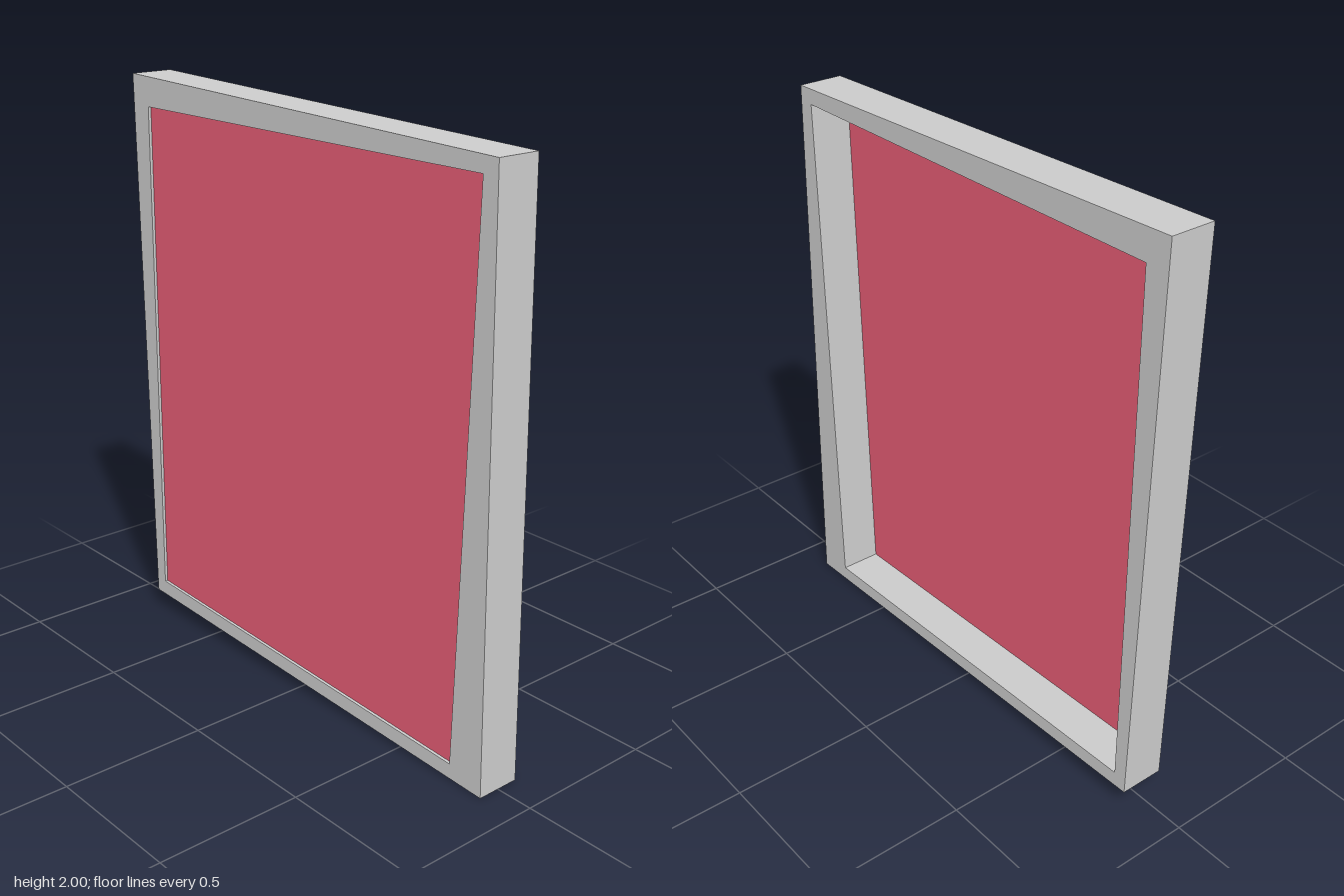
import * as THREE from 'three';

const THICKNESS = 0.155;
const PANEL_X = -0.067;

// Corners as [z, y], running round the slightly crooked frame
const OUTER = [[0.868, 0], [-0.826, 0.066], [-0.865, 2], [0.84, 1.947]];
const INNER = [[0.734, 0.056], [-0.779, 0.117], [-0.779, 1.896], [0.784, 1.896]];

// Shapes are drawn with -z to the right, then turned to face +x
const points = (corners) => corners.map(([z, y]) => new THREE.Vector2(-z, y));

export function createModel() {
  const group = new THREE.Group();
  group.name = 'framedPanel';

  // Crooked frame with a four-sided opening
  const outline = new THREE.Shape(points(OUTER));
  outline.holes.push(new THREE.Path(points(INNER)));
  const frameGeometry = new THREE.ExtrudeGeometry(outline, { depth: THICKNESS, bevelEnabled: false });
  frameGeometry.translate(0, 0, -THICKNESS / 2).rotateY(Math.PI / 2);
  const frame = new THREE.Mesh(frameGeometry, new THREE.MeshStandardMaterial({ color: 0xcccccc }));
  frame.name = 'frame';

  // Thin coloured panel filling the opening, close to the -x face
  const panelGeometry = new THREE.ShapeGeometry(new THREE.Shape(points(INNER)));
  panelGeometry.rotateY(Math.PI / 2);
  const panel = new THREE.Mesh(
    panelGeometry,
    new THREE.MeshStandardMaterial({ color: 0xe65d75, side: THREE.DoubleSide })
  );
  panel.position.x = PANEL_X;
  panel.name = 'panel';

  group.add(frame, panel);
  return group;
}
